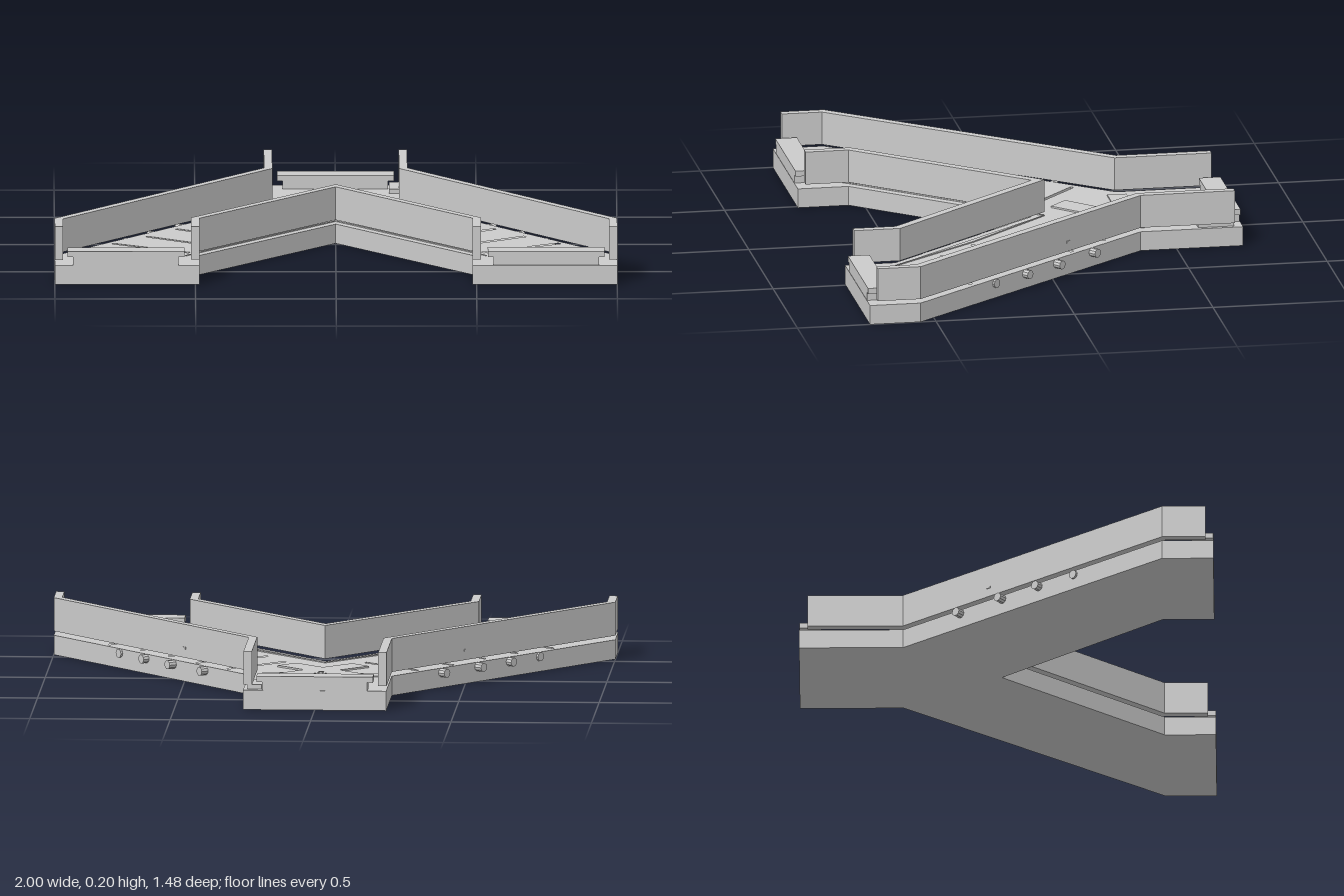
import * as THREE from 'three';

const grey = new THREE.MeshStandardMaterial({ color: 0xcccccc, flatShading: true });

export function createModel() {
  const model = new THREE.Group();
  model.name = 'forkedTrack';

  const add = (name, geometry, x = 0, y = 0, z = 0, turn = 0) => {
    const mesh = new THREE.Mesh(geometry, grey);
    mesh.name = name;
    mesh.position.set(x, y, z);
    mesh.rotation.y = turn;
    model.add(mesh);
  };
  const box = (name, w, h, d, x, y, z, turn) =>
    add(name, new THREE.BoxGeometry(w, h, d), x, y, z, turn);

  // Upright prism from a plan outline of [x, z] points, with optional holes
  const toPlan = (points) => points.map(([x, z]) => new THREE.Vector2(x, -z));
  const prism = (name, outline, bottom, top, holes = []) => {
    const shape = new THREE.Shape(toPlan(outline));
    shape.holes = holes.map((hole) => new THREE.Path(toPlan(hole)));
    const geometry = new THREE.ExtrudeGeometry(shape, { depth: top - bottom, bevelEnabled: false });
    geometry.rotateX(-Math.PI / 2);
    add(name, geometry, 0, bottom, 0);
  };
  const mirror = (points) => points.map(([x, z]) => [-x, z]);

  // Narrow rectangular groove in plan, turned about its centre
  const groove = (length, x, z, turn) =>
    [[-1, -1], [1, -1], [1, 1], [-1, 1]].map(([i, j]) => {
      const u = i * length / 2, v = j * 0.007;
      return [x + u * Math.cos(turn) + v * Math.sin(turn), z - u * Math.sin(turn) + v * Math.cos(turn)];
    });
  const armGrooves = [
    groove(0.325, 0.743, 0.552, 0),
    groove(0.32, 0.658, 0.42, 0.55),
    groove(0.3, 0.55, 0.295, 0.62),
    groove(0.31, 0.44, 0.16, 0.62),
    groove(0.3, 0.335, 0, 0.62),
    groove(0.27, 0.24, -0.135, 0.75),
  ];
  const grooves = [groove(0.325, 0, -0.53, 0), ...armGrooves, ...armGrooves.map(mirror)];

  // Y-shaped base with a grooved deck
  const half = [[0.255, -0.74], [0.255, -0.37], [1, 0.555], [1, 0.738], [0.485, 0.738], [0.485, 0.555]];
  const plan = [...half, [0, -0.02], ...mirror(half).reverse()];
  prism('base', plan, 0, 0.058);
  prism('deck', plan, 0.058, 0.07, grooves);

  // Side walls standing just clear of the deck, and slim fillets beside the inner ones
  const outerWall = [
    [0.255, -0.71], [0.255, -0.37], [1, 0.555], [1, 0.71],
    [0.97, 0.71], [0.97, 0.566], [0.225, -0.359], [0.225, -0.71],
  ];
  const innerWall = [
    [0, -0.02], [0.485, 0.555], [0.485, 0.71],
    [0.515, 0.71], [0.515, 0.544], [0, -0.067],
  ];
  const fillet = [[0, -0.067], [0.515, 0.544], [0.535, 0.57], [0.28, 0.235]];
  for (const side of [(points) => points, mirror]) {
    prism('outerWall', side(outerWall), 0.085, 0.205);
    prism('innerWall', side(innerWall), 0.085, 0.205);
    prism('fillet', side(fillet), 0.07, 0.074);
  }

  // Stepped threshold at each open end
  for (const [x, z] of [[0, -0.7], [0.747, 0.698], [-0.747, 0.698]]) {
    box('thresholdFoot', 0.375, 0.032, 0.078, x, 0.086, z);
    box('thresholdPlate', 0.415, 0.02, 0.078, x, 0.11, z);
  }

  // Small bracket by one rear wall
  box('rearBracket', 0.05, 0.016, 0.13, 0.215, 0.078, -0.645);

  // Thin crossing plates at the junction
  box('junctionPlate', 0.415, 0.005, 0.07, 0, 0.0725, -0.365);
  for (const s of [-1, 1]) box('junctionCross', 0.37, 0.006, 0.09, 0, 0.073, -0.27, s * Math.PI / 4);
  add('junctionPin', new THREE.CylinderGeometry(0.01, 0.01, 0.008, 8), 0, 0.074, -0.32);

  // Round pegs through the outer edge of each arm: [z, how far they stick out]
  const pegs = [[-0.165, 0.028], [-0.015, 0.03], [0.115, 0.024], [0.24, 0.008]];
  const armTurn = Math.atan2(0.745, 0.925);
  const edgeX = (z) => 0.255 + (z + 0.37) * 0.745 / 0.925;
  for (const s of [-1, 1]) {
    for (const [z, reach] of pegs) {
      const peg = new THREE.CylinderGeometry(0.016, 0.016, 0.05, 10).rotateZ(Math.PI / 2);
      const shift = reach - 0.025;
      add('peg', peg, s * (edgeX(z) + shift * Math.cos(armTurn)), 0.054,
        z - shift * Math.sin(armTurn), s * armTurn);
    }
    // Small stud on the outer wall
    box('wallStud', 0.006, 0.008, 0.018, s * edgeX(-0.065), 0.12, -0.065, s * armTurn);
  }

  return model;
}
